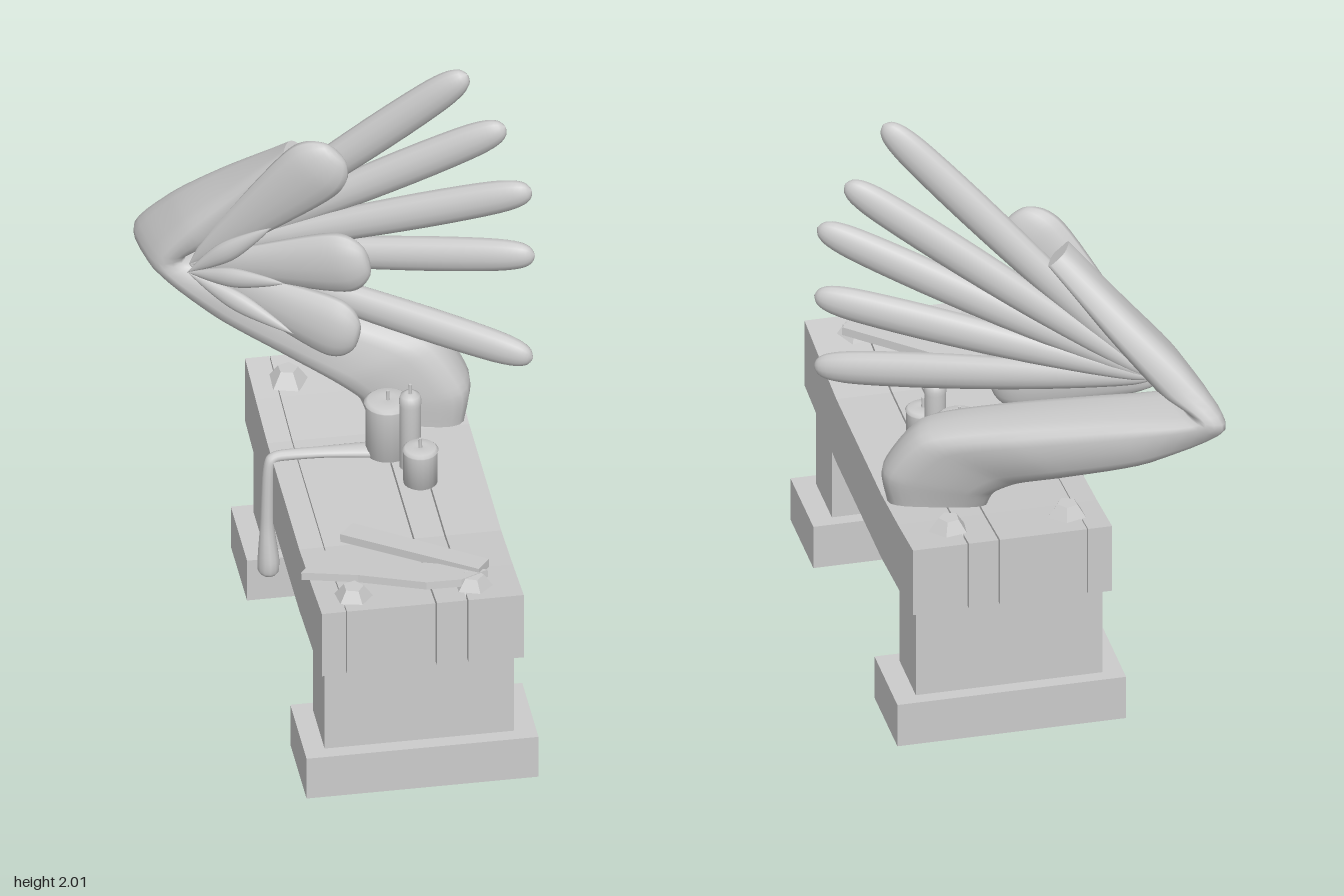
import * as THREE from 'three';

const V = (x, y, z) => new THREE.Vector3(x, y, z);
const mat = new THREE.MeshStandardMaterial({ color: 0xcccccc });
const flatMat = new THREE.MeshStandardMaterial({ color: 0xcccccc, flatShading: true });

export function createModel() {
  const root = new THREE.Group();
  const add = (name, geo, x = 0, y = 0, z = 0, m = mat, parent = root) => {
    const mesh = new THREE.Mesh(geo, m);
    mesh.name = name;
    mesh.position.set(x, y, z);
    parent.add(mesh);
    return mesh;
  };

  // Smooth closed loft through sections [centre, half-axis a, half-axis b]
  const loft = (sections, steps, sides, power) => {
    const curves = [0, 1, 2].map(k =>
      new THREE.CatmullRomCurve3(sections.map(s => V(...s[k])), false, 'catmullrom', 0.35));
    const pos = [], idx = [];
    const soft = v => Math.sign(v) * Math.abs(v) ** power;
    for (let s = 0; s <= steps; s++) {
      const [c, a, b] = curves.map(q => q.getPoint(s / steps));
      for (let i = 0; i < sides; i++) {
        const t = i / sides * Math.PI * 2;
        const p = c.clone().addScaledVector(a, soft(Math.cos(t))).addScaledVector(b, soft(Math.sin(t)));
        pos.push(p.x, p.y, p.z);
        if (s === steps) continue;
        const j = (i + 1) % sides, r = s * sides, n = r + sides;
        idx.push(r + i, r + j, n + i, r + j, n + j, n + i);
      }
    }
    // End caps with their own corners
    for (const s of [0, steps]) {
      const start = pos.length / 3;
      pos.push(...pos.slice(s * sides * 3, (s + 1) * sides * 3));
      for (let i = 1; i < sides - 1; i++) {
        if (s) idx.push(start, start + i, start + i + 1);
        else idx.push(start, start + i + 1, start + i);
      }
    }
    const g = new THREE.BufferGeometry();
    g.setAttribute('position', new THREE.Float32BufferAttribute(pos, 3));
    g.setIndex(idx);
    g.computeVertexNormals();
    return g;
  };

  // Sagging bench top made of four planks
  const side = new THREE.Shape([
    [0.825, 0.47], [0.825, 0.705], [0.62, 0.683], [0.4, 0.665], [-0.2, 0.665], [-0.42, 0.683],
    [-0.62, 0.705], [-0.62, 0.47], [-0.2, 0.435], [0.4, 0.435],
  ].map(p => new THREE.Vector2(...p)));
  for (const [x0, x1] of [[-0.245, -0.168], [-0.165, 0.115], [0.12, 0.215], [0.22, 0.395]]) {
    const g = new THREE.ExtrudeGeometry(side, { depth: x1 - x0, bevelEnabled: false });
    g.rotateY(-Math.PI / 2);
    add('plank', g, x1);
  }

  // Block legs on wider feet
  for (const [name, z, fz] of [['frontLeg', 0.65, 0.652], ['backLeg', -0.467, -0.467]]) {
    add(name, new THREE.BoxGeometry(0.6, 0.32, 0.215), 0.075, 0.31, z);
    add(name + 'Foot', new THREE.BoxGeometry(0.735, 0.15, 0.305), 0.0775, 0.075, fz);
  }

  // Five-sided studs at the corners
  for (const x of [-0.13, 0.25]) for (const z of [0.735, -0.5]) {
    const stud = add('stud', new THREE.CylinderGeometry(0.033, 0.068, 0.05, 5), x, 0.712, z, flatMat);
    stud.rotation.y = x * 3 + z;
  }

  // Candles with domed tops and wicks
  for (const [x, z, r, top] of [[0.12, -0.1, 0.075, 0.86], [0.175, -0.005, 0.036, 0.94], [0.192, 0.085, 0.057, 0.795]]) {
    const h = top - 0.66, d = r < 0.04 ? 0.03 : 0.012;
    const prof = [[0, 0], [r * 0.95, 0], [r * 0.95, h - d * 1.5], [r, h - d], [r * 0.85, h - d * 0.3], [r * 0.4, h], [0, h - 0.004]];
    add('candle', new THREE.LatheGeometry(prof.map(p => new THREE.Vector2(...p)), 20), x, 0.66, z);
    add('wick', new THREE.CylinderGeometry(0.005, 0.007, 0.04, 6), x, top + 0.01, z);
  }

  // Wax run that crosses the bench and hangs over its edge
  add('waxRun', loft([
    [[0.08, 0.672, -0.1], [0, 0, 0.038], [0, 0.02, 0]],
    [[-0.08, 0.676, -0.108], [0, 0, 0.025], [0, 0.016, 0]],
    [[-0.22, 0.677, -0.108], [0, 0, 0.018], [0, 0.018, 0]],
    [[-0.25, 0.662, -0.106], [0, 0, 0.02], [-0.014, 0.014, 0]],
    [[-0.258, 0.61, -0.105], [0, 0, 0.022], [-0.019, 0, 0]],
    [[-0.262, 0.43, -0.105], [0, 0, 0.026], [-0.022, 0, 0]],
    [[-0.258, 0.3, -0.105], [0, 0, 0.045], [-0.034, 0, 0]],
    [[-0.258, 0.255, -0.105], [0, 0, 0.041], [-0.033, 0, 0]],
    [[-0.258, 0.235, -0.105], [0, 0, 0.015], [-0.015, 0, 0]],
  ], 40, 12, 1));

  // Cut strips lying on the front of the bench
  const strip = (name, pts, y, thick, tiltZ, tiltX) => {
    const cx = pts.reduce((s, p) => s + p[0], 0) / pts.length;
    const cz = pts.reduce((s, p) => s + p[1], 0) / pts.length;
    const sh = new THREE.Shape(pts.map(p => new THREE.Vector2(p[0] - cx, cz - p[1])));
    const g = new THREE.ExtrudeGeometry(sh, { depth: thick, bevelEnabled: false });
    g.rotateX(-Math.PI / 2);
    add(name, g, cx, y, cz).rotation.set(tiltX, 0, tiltZ);
  };
  strip('wideStrip', [[-0.27, 0.59], [-0.18, 0.47], [-0.03, 0.56], [0.19, 0.66], [0.3, 0.72], [0.21, 0.76], [0.1, 0.75], [-0.1, 0.65]], 0.697, 0.026, 0.04, -0.08);
  strip('narrowStrip', [[-0.12, 0.43], [-0.07, 0.375], [0.31, 0.68], [0.27, 0.73]], 0.713, 0.028, 0.04, -0.03);

  // Wing: broad arm rising from the bench, sharply bent at the elbow
  const wing = new THREE.Group();
  wing.name = 'wing';
  root.add(wing);
  add('wingArm', loft([
    [[0.24, 0.675, -0.295], [0.15, 0.0, 0.04], [0.01, 0.025, -0.08]],
    [[0.235, 0.77, -0.305], [0.17, 0.03, 0.05], [0.02, 0.01, -0.095]],
    [[0.14, 0.88, -0.35], [0.16, 0.085, 0.04], [0.03, 0, -0.11]],
    [[-0.04, 0.945, -0.445], [0.11, 0.09, 0.03], [0.03, 0, -0.125]],
    [[-0.29, 1.025, -0.575], [0.075, 0.075, 0.02], [0.01, 0, -0.135]],
    [[-0.505, 1.13, -0.68], [0.06, 0.02, 0], [-0.02, 0, -0.14]],
    [[-0.42, 1.25, -0.62], [0.05, -0.04, 0], [-0.01, 0, -0.13]],
    [[-0.28, 1.41, -0.535], [0.045, -0.035, 0], [0, 0, -0.1]],
    [[-0.12, 1.6, -0.425], [0.03, -0.025, 0], [0.02, 0, -0.045]],
  ], 48, 20, 0.65), 0, 0, 0, mat, wing);

  // Feather: a flattened, round-ended lathe aimed from its root to its tip
  const normal = V(-0.4, 0, 0.92).normalize();
  const feather = (name, from, to, halfWidth, halfDepth, profile) => {
    const axis = V(...to).sub(V(...from));
    const len = axis.length();
    axis.normalize();
    const across = axis.clone().cross(normal).normalize();
    const depth = across.clone().cross(axis);
    const pts = new THREE.SplineCurve(profile.map(p => new THREE.Vector2(p[0], p[1]))).getPoints(24);
    pts.forEach(p => { p.x = Math.max(p.x, 0); });
    const g = new THREE.LatheGeometry(pts, 14);
    g.scale(halfWidth, len, halfDepth);
    g.applyMatrix4(new THREE.Matrix4().makeBasis(across, axis, depth));
    add(name, g, ...from, mat, wing);
  };

  // Long flight feathers in a fan
  const long = [[0, 0], [0.45, 0.08], [0.85, 0.35], [1, 0.62], [0.97, 0.84], [0.82, 0.94], [0.5, 0.985], [0, 1]];
  for (const tip of [[0.385, 2.0, -0.18], [0.505, 1.795, -0.17], [0.575, 1.6, -0.09], [0.585, 1.355, -0.09], [0.562, 1.035, 0.01]])
    feather('flightFeather', [-0.4, 1.18, -0.55], tip, 0.06, 0.042, long);

  // Broad covert feathers in front of the fan
  const broad = [[0, 0], [0.35, 0.15], [0.7, 0.45], [1, 0.78], [0.92, 0.91], [0.5, 0.985], [0, 1]];
  for (const tip of [[-0.01, 1.68, -0.28], [0.08, 1.3, -0.22], [0.045, 1.03, -0.2]])
    feather('covertFeather', [-0.44, 1.15, -0.52], tip, 0.105, 0.045, broad);

  // Small pointed feathers at the bend
  const pointed = [[0, 0], [0.7, 0.25], [1, 0.5], [0.5, 0.82], [0, 1]];
  for (const tip of [[-0.21, 1.38, -0.34], [-0.18, 1.22, -0.26], [-0.15, 1.02, -0.27]])
    feather('pointedFeather', [-0.45, 1.14, -0.49], tip, 0.034, 0.022, pointed);

  return root;
}
